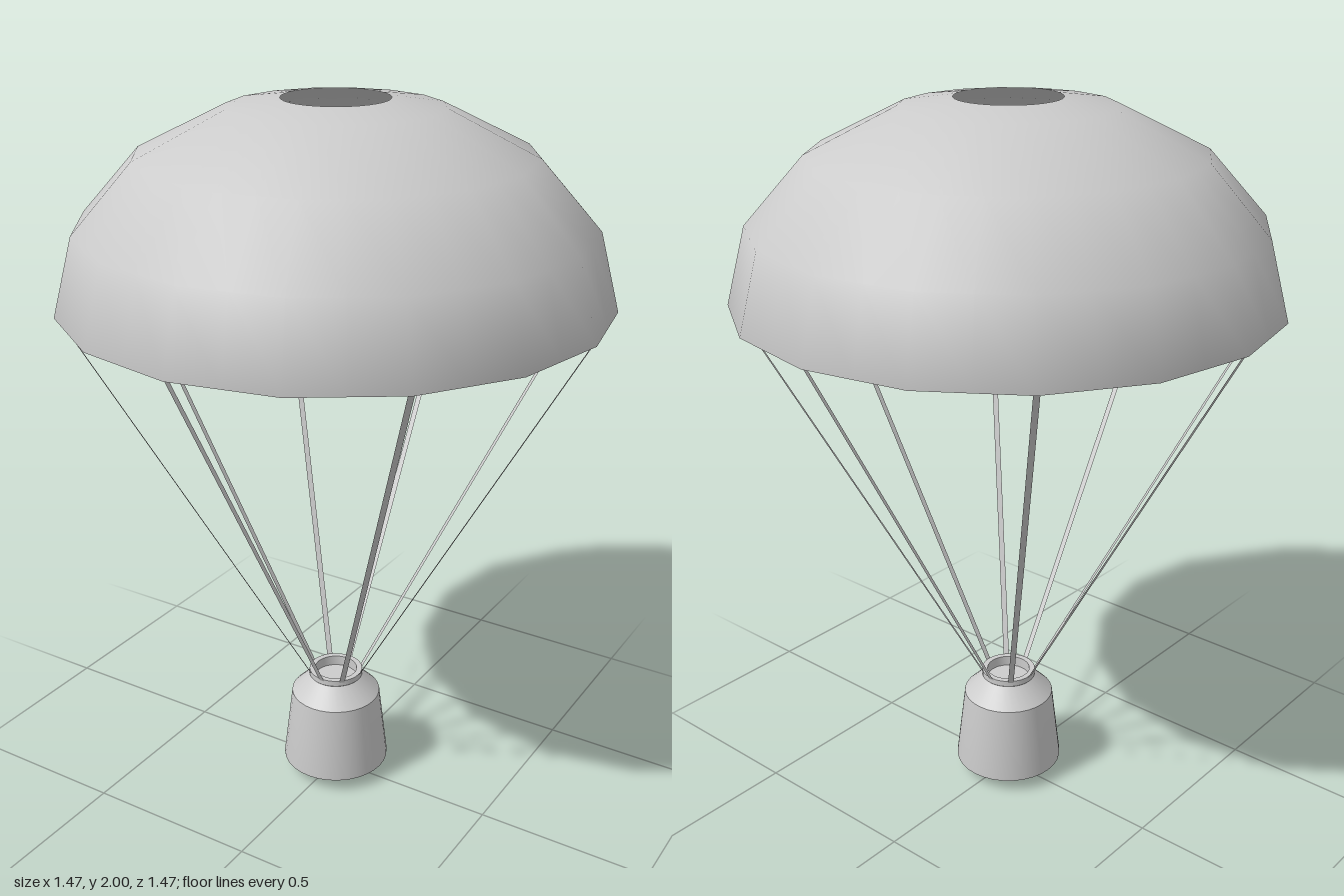
import * as THREE from 'three';
import { toCreasedNormals } from 'three/addons/utils/BufferGeometryUtils.js';

const material = new THREE.MeshStandardMaterial({ color: 0xcccccc });
const thinMaterial = new THREE.MeshStandardMaterial({ color: 0xcccccc, side: THREE.DoubleSide });

const RIM_Y = 1.475, RIM_R = 0.735, DOME_H = 0.544, HOLE_R = 0.14;

function addMesh(parent, name, geometry, mat) {
  const mesh = new THREE.Mesh(geometry, mat);
  mesh.name = name;
  parent.add(mesh);
  return mesh;
}

// Sixteen-sided flattened dome with a round vent at the crown
function canopyGeometry() {
  const profile = [];
  for (let i = 0; i < 4; i++) {
    const a = (i * Math.PI) / 8;
    profile.push(new THREE.Vector2(RIM_R * Math.cos(a), RIM_Y + DOME_H * Math.sin(a)));
  }
  profile.push(new THREE.Vector2(HOLE_R, 1.998));
  const geometry = new THREE.LatheGeometry(profile, 32);
  const pos = geometry.attributes.position, normal = geometry.attributes.normal;
  const n = new THREE.Vector3();
  for (let i = 0; i < pos.count; i++) {
    const column = Math.floor(i / profile.length), ring = i % profile.length;
    // odd columns lie at the middle of a straight side; the vent stays round
    if (column % 2 === 1 && ring < profile.length - 1) {
      const k = Math.cos(Math.PI / 16);
      pos.setX(i, pos.getX(i) * k);
      pos.setZ(i, pos.getZ(i) * k);
    }
    // smooth ellipsoid shading
    n.set(pos.getX(i) / RIM_R ** 2, (pos.getY(i) - RIM_Y) / DOME_H ** 2, pos.getZ(i) / RIM_R ** 2).normalize();
    normal.setXYZ(i, n.x, n.y, n.z);
  }
  return geometry;
}

// Flat ribbon running from the capsule collar up to the rim, in the +z direction
function cordGeometry() {
  const low = new THREE.Vector3(0, 0.325, 0.075);
  const high = new THREE.Vector3(0, RIM_Y + 0.005, 0.727);
  const along = high.clone().sub(low);
  const geometry = new THREE.PlaneGeometry(0.016, along.length());
  geometry.rotateX(Math.atan2(along.z, along.y));
  const mid = low.add(high).multiplyScalar(0.5);
  return geometry.translate(mid.x, mid.y, mid.z);
}

export function createModel() {
  const model = new THREE.Group();
  model.name = 'parachuteCapsule';

  addMesh(model, 'canopy', canopyGeometry(), thinMaterial);

  // Eight suspension cords
  const cords = new THREE.Group();
  cords.name = 'cords';
  model.add(cords);
  const cord = cordGeometry();
  for (let i = 0; i < 8; i++) {
    addMesh(cords, `cord${i + 1}`, cord, thinMaterial).rotation.y = (i * Math.PI) / 4;
  }

  // Capsule: rounded heat shield, tapered body, shoulder and recessed collar
  const profile = [
    [0, 0], [0.06, 0.006], [0.115, 0.021], [0.155, 0.04], [0.155, 0.048],
    [0.13, 0.262], [0.076, 0.316], [0.078, 0.318], [0.078, 0.335],
    [0.062, 0.335], [0.062, 0.305], [0, 0.305],
  ].map(([x, y]) => new THREE.Vector2(x, y));
  addMesh(model, 'capsule', toCreasedNormals(new THREE.LatheGeometry(profile, 32), 0.5), material);

  return model;
}
